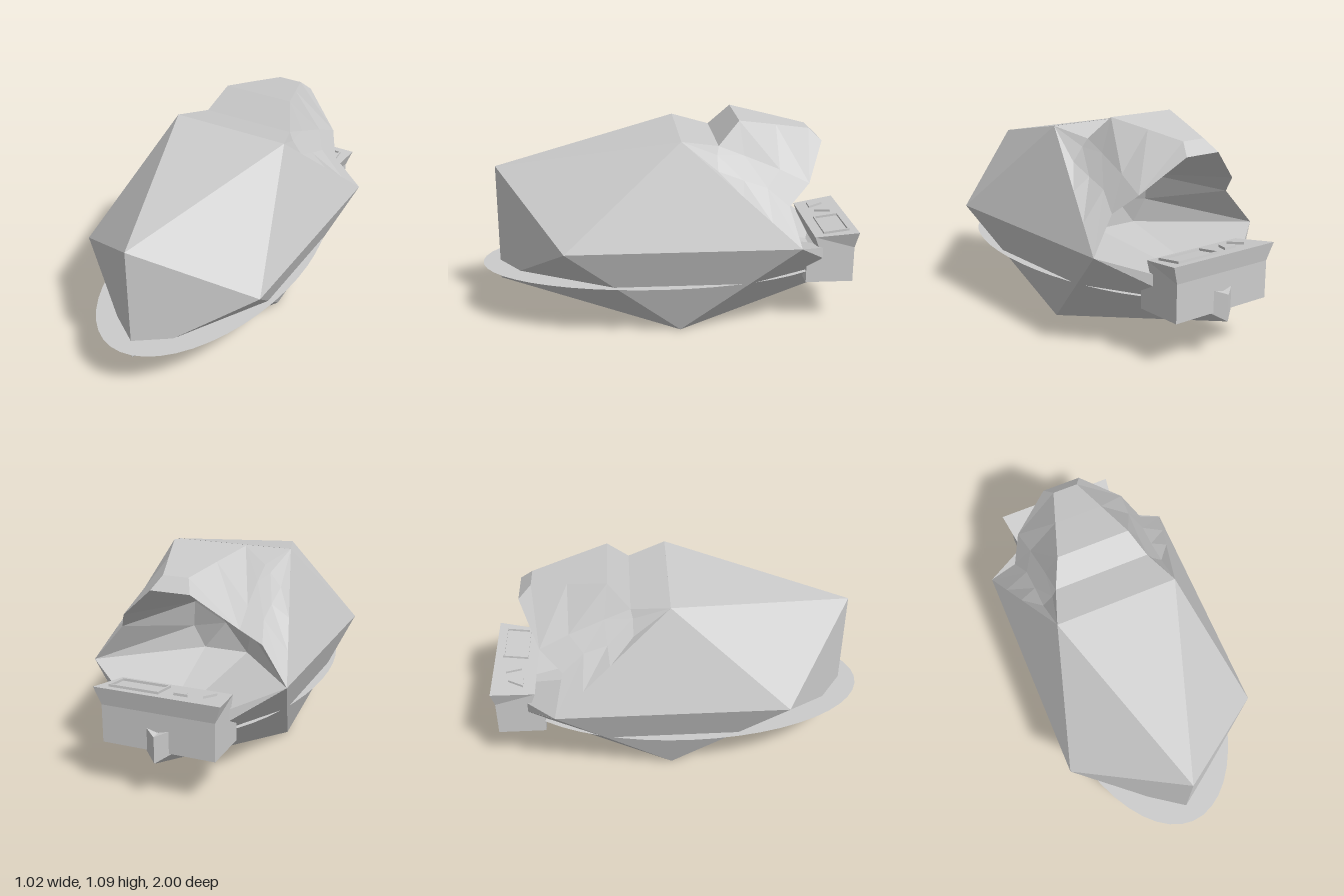
import * as THREE from 'three';

const mat = new THREE.MeshStandardMaterial({ color: 0xcccccc, flatShading: true, side: THREE.DoubleSide });

function addMesh(group, name, geometry) {
  const mesh = new THREE.Mesh(geometry, mat);
  mesh.name = name;
  group.add(mesh);
  return mesh;
}

// flat facets from a list of triangles, each three [x, y, z] corners
function facets(tris) {
  const g = new THREE.BufferGeometry();
  g.setAttribute('position', new THREE.Float32BufferAttribute(tris.flat(2), 3));
  g.computeVertexNormals();
  return g;
}

const flip = ([x, y, z]) => [-x, y, z];
const quad = (a, b, c, d) => [[a, b, c], [a, c, d]];
const mirrorTris = (tris) => tris.map(([a, b, c]) => [flip(a), flip(c), flip(b)]);

// stretched icosahedron with the upper rear corner left out
function hullTriangles() {
  const p = (1 + Math.sqrt(5)) / 2;
  const v = [];
  for (const a of [-1, 1]) for (const b of [-p, p]) v.push([0, a, b], [a, b, 0], [b, 0, a]);
  const near = (a, b) => Math.abs(Math.hypot(a[0] - b[0], a[1] - b[1], a[2] - b[2]) - 2) < 0.01;
  const place = ([x, y, z]) => [x * 0.3155, 0.512 + y * 0.3155, -0.045 + z * 0.59];
  const missing = (q) => q[1] === 1 && q[2] === -p;
  const tris = [];
  for (let i = 0; i < 12; i++) for (let j = i + 1; j < 12; j++) for (let k = j + 1; k < 12; k++) {
    const t = [v[i], v[j], v[k]];
    if (!near(t[0], t[1]) || !near(t[1], t[2]) || !near(t[0], t[2]) || t.some(missing)) continue;
    const [a, b, c] = t.map((q) => new THREE.Vector3(...q));
    const outward = b.clone().sub(a).cross(c.clone().sub(a)).dot(a) > 0;
    tris.push((outward ? t : [t[0], t[2], t[1]]).map(place));
  }
  return tris;
}

export function createModel() {
  const model = new THREE.Group();
  model.name = 'facetedPod';

  const corner = [0.51, 0.512, -0.635];
  const shoulder = [0.3155, 1.022, -0.045];
  const tail = [0, 0.197, -1];
  const tailTop = [0, 0.33, -1];

  // hull, closed at the tail by two small fins
  const fin = [[tail, tailTop, corner]];
  addMesh(model, 'hull', facets([...hullTriangles(), ...fin, ...mirrorTris(fin)]));

  // canopy: rows run front to back, each from the top plate out to the hull edge
  const rows = [
    [shoulder, shoulder, shoulder, shoulder],
    [[0.25, 0.98, -0.24], [0.275, 0.94, -0.23], [0.33, 0.87, -0.23], [0.355, 0.917, -0.165]],
    [[0.19, 1.095, -0.35], [0.26, 0.93, -0.37], [0.33, 0.82, -0.36], [0.417, 0.757, -0.35]],
    [[0.125, 1.057, -0.55], [0.28, 0.86, -0.55], [0.335, 0.78, -0.48], [0.463, 0.635, -0.49]],
    [[0.065, 1.02, -0.735], [0.3, 0.79, -0.7], [0.37, 0.69, -0.59], corner],
  ];
  const side = [], middle = [];
  for (let r = 0; r < rows.length - 1; r++) {
    const a = rows[r], b = rows[r + 1];
    for (let i = 0; i < 3; i++) side.push(...quad(a[i], a[i + 1], b[i + 1], b[i]));
    middle.push(...quad(a[0], b[0], flip(b[0]), flip(a[0])));
  }
  // drooping rear lip
  const [plateEnd, hemSide, hemLow] = rows[4];
  const lip = [0.1, 0.96, -0.8];
  side.push([plateEnd, hemSide, lip]);
  middle.push(...quad(plateEnd, lip, flip(lip), flip(plateEnd)));
  addMesh(model, 'canopy', facets([...middle, ...side, ...mirrorTris(side)]));

  // cockpit hollow, narrowing from the canopy hem to a small front wall
  const hem = [tailTop, corner, hemLow, hemSide, lip];
  const deep = [[0, 0.47, -0.15], [0.12, 0.47, -0.15], [0.16, 0.6, -0.2], [0.13, 0.75, -0.25], [0.05, 0.8, -0.25]];
  const lining = [];
  for (let i = 0; i < 4; i++) {
    lining.push(...quad(hem[i], hem[i + 1], deep[i + 1], deep[i]));
    lining.push([[0, 0.62, -0.15], deep[i], deep[i + 1]]);
  }
  const roof = [...quad(lip, flip(lip), flip(deep[4]), deep[4]), [[0, 0.62, -0.15], deep[4], flip(deep[4])]];
  addMesh(model, 'cockpitLining', facets([...lining, ...mirrorTris(lining), ...roof]));

  // thin oval skirt around the hull
  const skirt = addMesh(model, 'ovalSkirt', new THREE.CircleGeometry(1, 48).rotateX(-Math.PI / 2));
  skirt.scale.set(0.475, 1, 0.95);
  skirt.position.set(0, 0.3, 0.05);

  // rear console: side profile (depth, height) extruded across, flared at the top
  const profile = [[0.71, 0.24], [0.96, 0.24], [0.96, 0.43], [0.975, 0.52], [0.75, 0.49], [0.79, 0.38], [0.71, 0.33]];
  const block = new THREE.ExtrudeGeometry(
    new THREE.Shape(profile.map(([d, h]) => new THREE.Vector2(d, h))), { depth: 2, bevelEnabled: false });
  block.translate(0, 0, -1).rotateY(Math.PI / 2);
  const pos = block.attributes.position;
  for (let i = 0; i < pos.count; i++) {
    const flared = pos.getY(i) > 0.5;
    pos.setX(i, pos.getX(i) * (flared ? 0.32 : 0.288));
  }
  block.computeVertexNormals();
  addMesh(model, 'console', block);

  // controls on the sloping console top
  const controls = new THREE.Group();
  controls.name = 'consoleControls';
  controls.position.set(0, 0.506, -0.868);
  controls.rotation.x = 0.132;
  model.add(controls);

  const frame = new THREE.Shape([[0.005, -0.068], [0.26, -0.068], [0.26, 0.068], [0.005, 0.068]].map((q) => new THREE.Vector2(...q)));
  frame.holes.push(new THREE.Path([[0.013, -0.06], [0.013, 0.06], [0.252, 0.06], [0.252, -0.06]].map((q) => new THREE.Vector2(...q))));
  const raise = (shape) => new THREE.ExtrudeGeometry(shape, { depth: 0.012, bevelEnabled: false }).rotateX(-Math.PI / 2);
  addMesh(controls, 'screenFrame', raise(frame));

  // up and down buttons
  for (const [name, x, z, dir] of [['upButton', -0.2, 0.015, 1], ['downButton', -0.095, 0, -1]]) {
    const tri = new THREE.Shape([[-0.036, -0.04 * dir], [0.036, -0.04 * dir], [0, 0.04 * dir]].map((q) => new THREE.Vector2(...q)));
    addMesh(controls, name, raise(tri)).position.set(x, 0, z);
  }

  return model;
}
